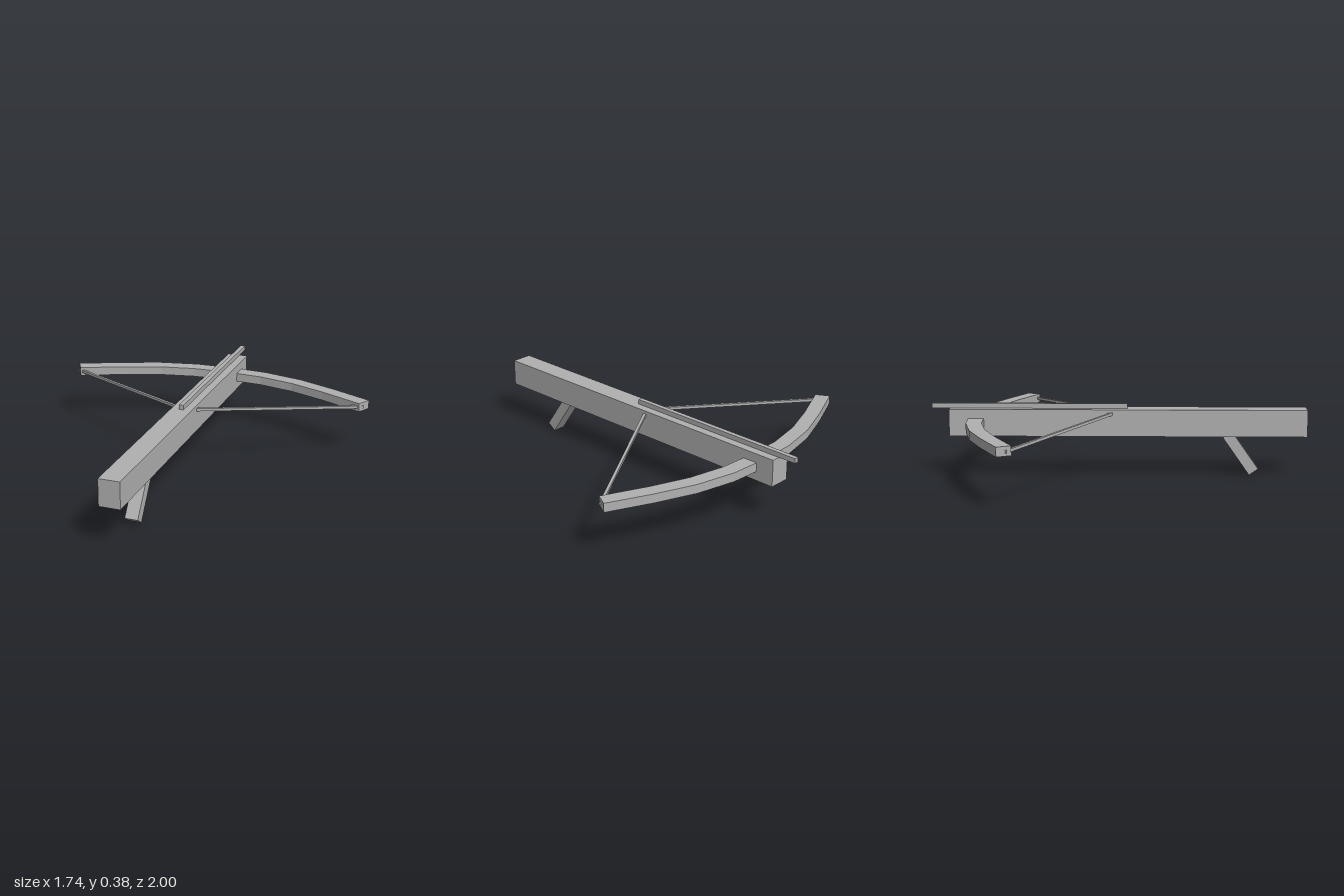
import * as THREE from 'three';

export function createModel() {
  const group = new THREE.Group();
  group.name = 'crossbow';
  const grey = new THREE.MeshStandardMaterial({ color: 0xb0b0b0, flatShading: true });
  grey.name = 'grey';

  const add = (name, geometry, x = 0, y = 0, z = 0) => {
    const mesh = new THREE.Mesh(geometry, grey);
    mesh.name = name;
    mesh.position.set(x, y, z);
    group.add(mesh);
    return mesh;
  };

  // Stock and the thin bolt rail on top of it
  add('stock', new THREE.BoxGeometry(0.113, 0.144, 1.903), 0, 0.283, 0.0485);
  add('boltRail', new THREE.BoxGeometry(0.025, 0.026, 1.045), 0, 0.368, -0.4775);

  // Slanted grip, its top sunk into the stock
  const grip = add('grip', new THREE.BoxGeometry(0.07, 0.247, 0.058), 0, 0.118, 0.649);
  grip.rotation.x = THREE.MathUtils.degToRad(-35);

  // Bow limbs: one faceted arc, drawn in plan as [x, z] and mirrored
  const back = [[0, -0.804], [0.213, -0.793], [0.43, -0.746], [0.645, -0.663], [0.872, -0.561]];
  const belly = [[0, -0.721], [0.203, -0.711], [0.4, -0.67], [0.595, -0.598], [0.834, -0.492]];
  const mirrored = (pts) => [...pts.slice(1).reverse().map(([x, z]) => [-x, z]), ...pts];
  const outline = [...mirrored(back), ...mirrored(belly).reverse()];
  const plan = new THREE.Shape(outline.map(([x, z]) => new THREE.Vector2(x, -z)));
  const bow = new THREE.ExtrudeGeometry(plan, { depth: 0.048, bevelEnabled: false });
  bow.rotateX(-Math.PI / 2);
  add('bow', bow, 0, 0.259, 0);

  // String halves, from the stock to each limb tip
  for (const side of [1, -1]) {
    const start = new THREE.Vector3(side * 0.02, 0.334, -0.02);
    const end = new THREE.Vector3(side * 0.85, 0.281, -0.519);
    const string = add(side > 0 ? 'leftString' : 'rightString',
      new THREE.BoxGeometry(0.015, 0.015, start.distanceTo(end)));
    string.position.lerpVectors(start, end, 0.5);
    string.lookAt(end);
  }

  return group;
}
